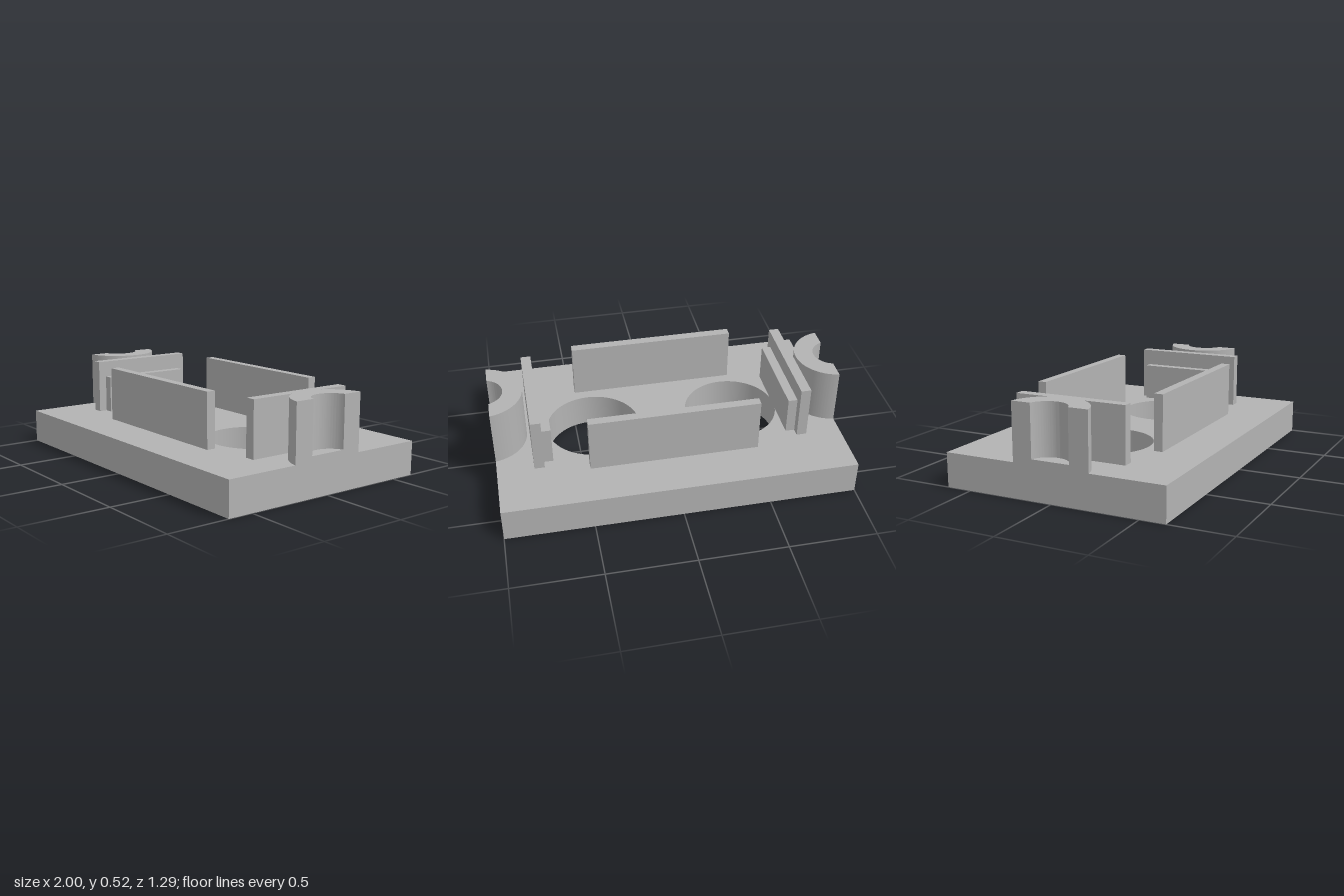
import * as THREE from 'three';
import { toCreasedNormals } from 'three/addons/utils/BufferGeometryUtils.js';

const BASE = 0.195; // top of the base plate
const SHIFT = -0.003; // raised parts sit very slightly off centre

export function createModel() {
  const group = new THREE.Group();
  const grey = new THREE.MeshStandardMaterial({ color: 0xb3b3b3 });
  grey.name = 'plain grey';

  const add = (name, geometry) => {
    const mesh = new THREE.Mesh(geometry, grey);
    mesh.name = name;
    group.add(mesh);
    return mesh;
  };

  // upright block standing on the base, given by its x, z ranges and top
  const block = (name, x0, x1, z0, z1, top) =>
    add(name, new THREE.BoxGeometry(x1 - x0, top - BASE, z1 - z0))
      .position.set((x0 + x1) / 2, (BASE + top) / 2, (z0 + z1) / 2);

  // plan outline raised from y0 to y1
  const raise = (name, shape, y0, y1) => {
    const g = new THREE.ExtrudeGeometry(shape, { depth: y1 - y0, bevelEnabled: false, curveSegments: 48 });
    g.rotateX(-Math.PI / 2).translate(0, y0, 0);
    return add(name, toCreasedNormals(g, 0.5));
  };

  // base plate with two round through holes
  const plate = new THREE.Shape([[-1, -0.645], [1, -0.645], [1, 0.645], [-1, 0.645]]
    .map(([x, y]) => new THREE.Vector2(x, y)));
  for (const s of [-1, 1]) {
    plate.holes.push(new THREE.Path().absarc(s * 0.417 + SHIFT, 0, 0.272, 0, Math.PI * 2, true));
  }
  raise('basePlate', plate, 0, BASE);

  // long rails at front and back
  block('frontRail', -0.485 + SHIFT / 2, 0.483, 0.333, 0.385, 0.51);
  block('backRail', -0.485 + SHIFT / 2, 0.483, -0.387, -0.337, 0.51);

  // end walls with a lower step on the inner side
  for (const [side, s] of [['left', 1], ['right', -1]]) {
    const span = (a, b) => [s * a + SHIFT, s * b + SHIFT].sort((p, q) => p - q);
    block(side + 'EndWall', ...span(0.736, 0.794), -0.325, 0.323, 0.51);
    block(side + 'Step', ...span(0.683, 0.736), -0.278, 0.275, 0.415);
  }

  // half-round posts, cut flush with the ends and hollowed from the outside
  const C = 1.032, R = 0.225, r = 0.115, FLOOR = 0.225;
  const a = Math.acos((1 - C) / R), b = Math.acos((1 - C) / r);
  const foot = new THREE.Shape().absarc(C, 0, R, a, 2 * Math.PI - a, false);
  const ring = new THREE.Shape().absarc(C, 0, R, a, 2 * Math.PI - a, false)
    .absarc(C, 0, r, 2 * Math.PI - b, b, true);
  for (const [side, turn] of [['left', 0], ['right', Math.PI]]) {
    raise(side + 'PostFoot', foot, BASE, FLOOR).rotation.y = turn;
    raise(side + 'Post', ring, FLOOR, 0.52).rotation.y = turn;
  }
  return group;
}
